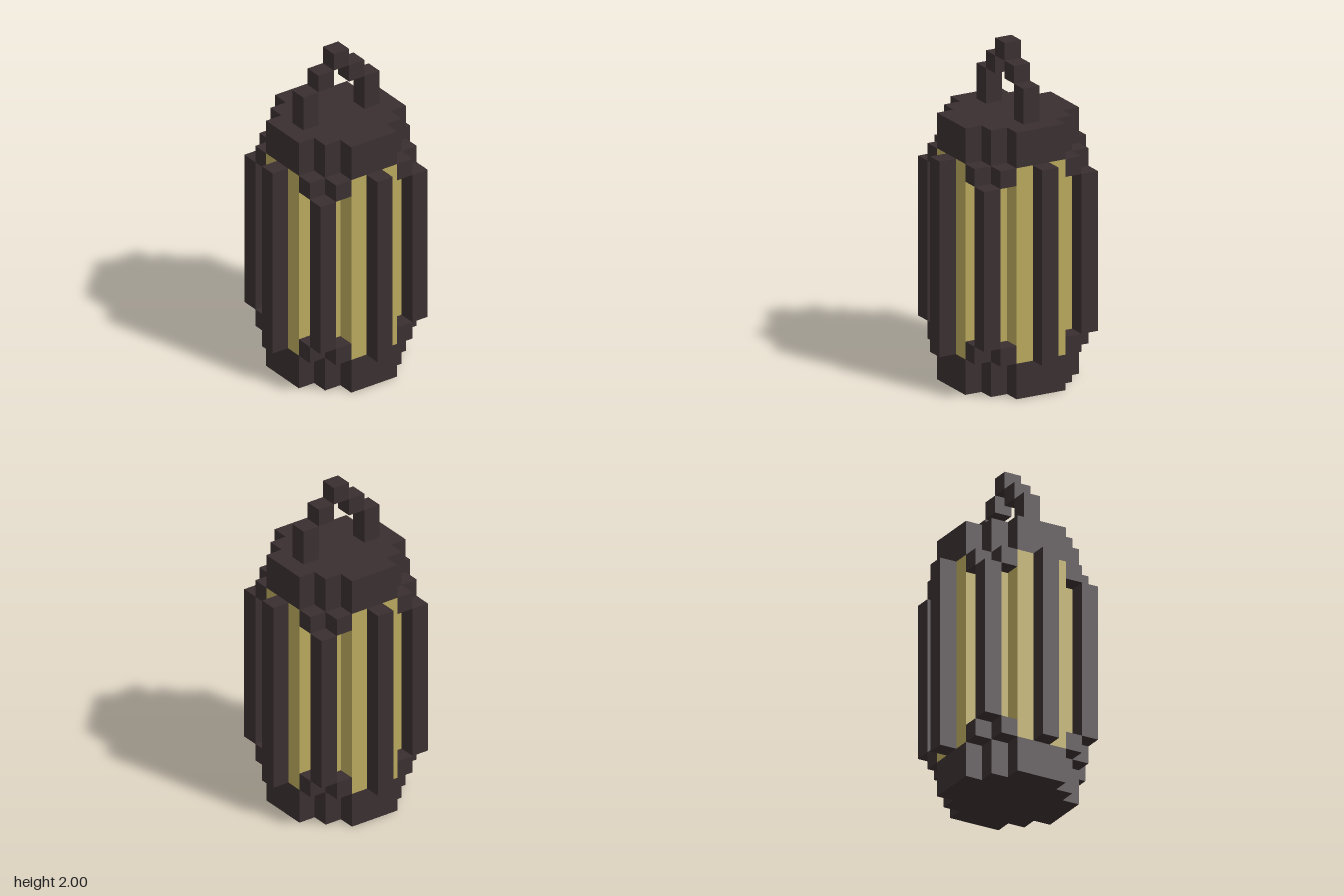
import * as THREE from 'three';

const U = 2 / 19; // edge of one block

export function createModel() {
  const model = new THREE.Group();
  model.name = 'lantern';
  const iron = new THREE.MeshStandardMaterial({ color: 0x3a2f30 });
  iron.name = 'dark iron';
  const glow = new THREE.MeshStandardMaterial({ color: 0xb9a85d });
  glow.name = 'warm glass';

  // Box of w x d blocks centred on (x, z), spanning y0..y1, all in blocks
  const block = (name, x, z, y0, y1) => {
    const mesh = new THREE.Mesh(new THREE.BoxGeometry(U, (y1 - y0) * U, U), iron);
    mesh.position.set(x * U, ((y0 + y1) / 2) * U, z * U);
    mesh.name = name;
    model.add(mesh);
  };

  // Stepped round footprint: one quarter outline, turned four times
  const quarter = [[3.5, -1.5], [3.5, 1.5], [2.5, 1.5], [2.5, 2.5], [1.5, 2.5]];
  const outline = [];
  for (let k = 0; k < 4; k++) {
    const c = [1, 0, -1, 0][k], s = [0, 1, 0, -1][k];
    quarter.forEach(([x, y]) => outline.push(new THREE.Vector2((x * c - y * s) * U, (x * s + y * c) * U)));
  }
  const footprint = new THREE.Shape(outline);
  const drum = (name, y0, y1, material) => {
    const geometry = new THREE.ExtrudeGeometry(footprint, { depth: (y1 - y0) * U, bevelEnabled: false });
    geometry.rotateX(-Math.PI / 2);
    const mesh = new THREE.Mesh(geometry, material);
    mesh.position.y = y0 * U;
    mesh.name = name;
    model.add(mesh);
  };

  drum('base', 0, 2, iron);
  drum('glassBody', 2, 13, glow);
  drum('cap', 13, 15, iron);

  // Bars in the middle of each side
  for (const [x, z] of [[4, 0], [-4, 0], [0, 4], [0, -4]]) block('sideBar', x, z, 2, 13);

  // Corner bars with their upper and lower brackets
  for (const sx of [-1, 1]) {
    for (const sz of [-1, 1]) {
      block('cornerBar', 3 * sx, 3 * sz, 3, 12);
      for (const y of [2, 12]) {
        block('bracket', 2 * sx, 3 * sz, y, y + 1);
        block('bracket', 3 * sx, 2 * sz, y, y + 1);
      }
    }
  }

  // Arched carrying handle
  for (const s of [-1, 1]) {
    block('handlePost', 2 * s, 0, 15, 17);
    block('handleShoulder', s, 0, 17, 18);
  }
  block('handleTop', 0, 0, 18, 19);

  return model;
}
